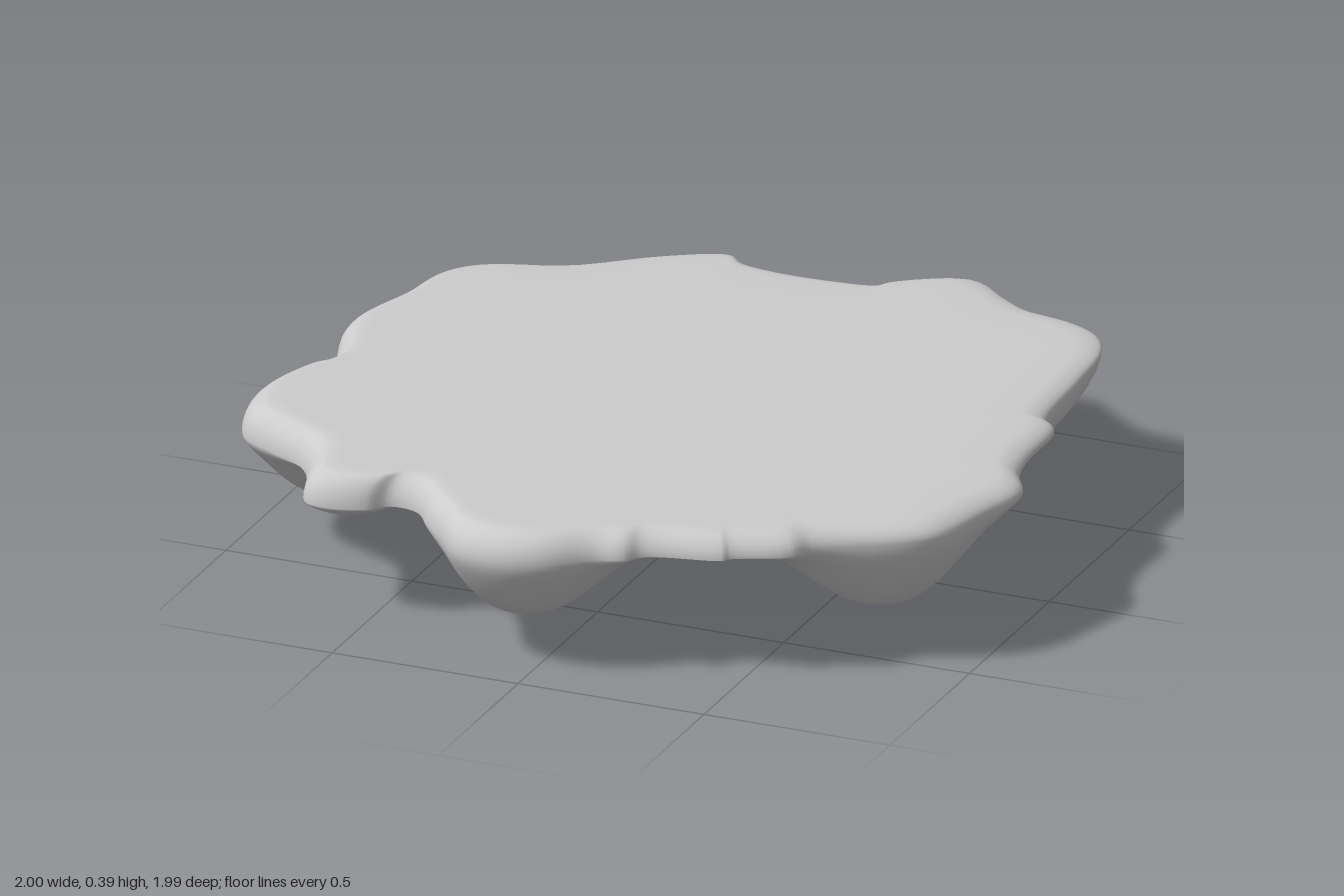
import * as THREE from 'three';

// Ground outline as x, z pairs, running from the +x side round past +z
const OUTLINE = [
  1, .17, .97, .31, .92, .48, .85, .55, .65, .66, .61, .72, .48, .78, .46, .8, .27, .84, .23, .88,
  .16, .9, .05, .97, -.06, .995, -.18, .97, -.26, .89, -.32, .83, -.37, .77, -.45, .76, -.5, .8,
  -.6, .82, -.66, .8, -.7, .69, -.75, .61, -.85, .55, -.96, .48, -1, .38, -1, .29, -.96, .16,
  -.93, .12, -.91, .05, -.96, -.13, -.96, -.22, -.91, -.39, -.88, -.54, -.81, -.62, -.6, -.7,
  -.4, -.85, -.25, -.92, -.2, -.88, -.1, -.86, .06, -.86, .18, -.88, .21, -.92, .37, -1,
  .49, -.92, .57, -.87, .7, -.84, .79, -.79, .84, -.7, .86, -.5, .88, -.26, .92, -.22, .93, -.03, .95, .07,
];

// Lumps hanging under the slab: x, z, depth, spread
const LUMPS = [
  [-.6, -.18, .325, .26],
  [-.07, .8, .21, .17],
  [.72, .39, .21, .18],
  [-.8, .29, .2, .18],
  [-.13, -.46, .165, .17],
  [-.24, -.58, .18, .17],
  [-.6, .72, .07, .11],
  [.4, -.82, .11, .14],
  [.62, -.72, .1, .14],
  [.78, -.54, .1, .13],
  [.83, -.38, .09, .12],
];

const TOP = .395;
const BASE = .33;
const SEGMENTS = 240;

// Underside height, with the full, round-bottomed lumps blended smoothly
function underside(x, z) {
  let sum = 0;
  for (const [cx, cz, depth, spread] of LUMPS) {
    const d2 = (x - cx) ** 2 + (z - cz) ** 2;
    sum += (depth * Math.exp(-((d2 / (2 * spread * spread)) ** 1.25))) ** 3;
  }
  return BASE - Math.cbrt(sum);
}

// Height of the widest line of the rim
const rimHeight = (x, z) => .34 + .022 * (x - z);

function slabGeometry() {
  const points = [];
  for (let i = 0; i < OUTLINE.length; i += 2) {
    points.push(new THREE.Vector3(OUTLINE[i], 0, OUTLINE[i + 1]));
  }
  const edge = new THREE.CatmullRomCurve3(points, true, 'centripetal').getPoints(SEGMENTS).slice(0, SEGMENTS);

  const positions = [0, TOP, 0];
  let rings = 0;
  const addRing = (scale, height) => {
    for (const p of edge) {
      const x = p.x * scale, z = p.z * scale;
      positions.push(x, height(x, z, rimHeight(p.x, p.z)), z);
    }
    rings++;
  };

  // Flat top
  for (const s of [.3, .6, .8, .9]) addRing(s, () => TOP);

  // Rounded upper rim
  for (let i = 1; i <= 8; i++) {
    const a = i / 8 * Math.PI / 2;
    addRing(.92 + .08 * Math.sin(a), (x, z, rim) => rim + (TOP - rim) * Math.cos(a));
  }

  // Lumpy underside, curling in from the rim
  const steps = 48;
  for (let i = 1; i < steps; i++) {
    const inset = (i / steps) ** 1.7;
    const k = Math.sqrt(1 - (1 - Math.min(inset / .16, 1)) ** 2);
    addRing(1 - inset, (x, z, rim) => Math.max(0, rim + (underside(x, z) - rim) * k));
  }
  const last = positions.length / 3;
  positions.push(0, underside(0, 0), 0);

  // Skin the rings, closing the centres with fans
  const index = [];
  const id = (ring, j) => 1 + ring * SEGMENTS + j % SEGMENTS;
  for (let j = 0; j < SEGMENTS; j++) {
    index.push(0, id(0, j + 1), id(0, j));
    for (let r = 0; r < rings - 1; r++) {
      index.push(id(r, j), id(r, j + 1), id(r + 1, j));
      index.push(id(r, j + 1), id(r + 1, j + 1), id(r + 1, j));
    }
    index.push(id(rings - 1, j), id(rings - 1, j + 1), last);
  }

  const geometry = new THREE.BufferGeometry();
  geometry.setAttribute('position', new THREE.Float32BufferAttribute(positions, 3));
  geometry.setIndex(index);
  geometry.computeVertexNormals();
  return geometry;
}

export function createModel() {
  const group = new THREE.Group();
  group.name = 'groundIsland';
  const slab = new THREE.Mesh(slabGeometry(), new THREE.MeshStandardMaterial({ color: 0xcccccc }));
  slab.name = 'lumpyGroundSlab';
  group.add(slab);
  return group;
}
